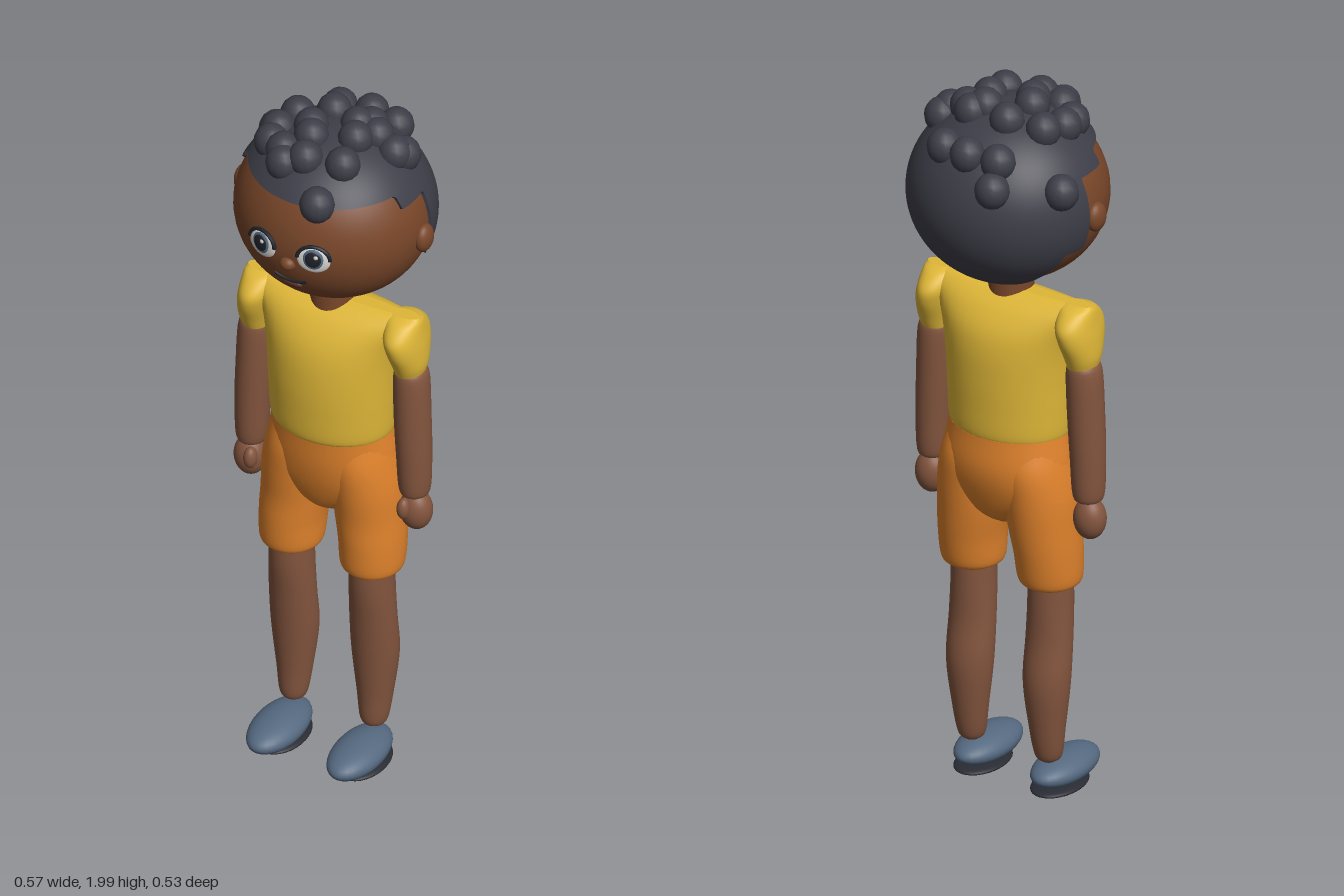
import * as THREE from 'three';

const paint = (name, color) => Object.assign(new THREE.MeshStandardMaterial({ color }), { name });

// Closed-ring surface: point(row, angle) gives a Vector3, rows run so that faces point outward
function ringSurface(rows, cols, point) {
  const pos = [], idx = [];
  for (let j = 0; j < rows; j++)
    for (let i = 0; i < cols; i++) pos.push(...point(j, (i / cols) * Math.PI * 2).toArray());
  for (let j = 0; j < rows - 1; j++)
    for (let i = 0; i < cols; i++) {
      const a = j * cols + i, b = j * cols + (i + 1) % cols, c = a + cols, d = b + cols;
      idx.push(a, c, b, b, c, d);
    }
  const g = new THREE.BufferGeometry();
  g.setAttribute('position', new THREE.Float32BufferAttribute(pos, 3));
  g.setIndex(idx);
  g.computeVertexNormals();
  return g;
}

// Smooth loft through elliptical sections [y, centreX, radiusX, centreZ, radiusZ], bottom to top
function loft(sections, side = 1) {
  const A = new THREE.CatmullRomCurve3(sections.map(s => new THREE.Vector3(s[0], s[1] * side, s[2])), false, 'catmullrom');
  const B = new THREE.CatmullRomCurve3(sections.map(s => new THREE.Vector3(s[3], s[4], 0)), false, 'catmullrom');
  const n = (sections.length - 1) * 5;
  return ringSurface(n + 5, 40, (j, a) => {
    const t = THREE.MathUtils.clamp((j - 2) / n, 0, 1);
    const k = j === 0 || j === n + 4 ? 0 : 1; // end caps close to a point
    const p = A.getPoint(t), q = B.getPoint(t);
    return new THREE.Vector3(p.y + k * p.z * Math.cos(a), p.x, q.x + k * q.y * Math.sin(a));
  });
}

export function createModel() {
  const model = new THREE.Group();
  model.name = 'child';
  const face = paint('faceSkin', 0x784629), skin = paint('limbSkin', 0x83553e);
  const hair = paint('hair', 0x3e3e49), shirt = paint('shirtYellow', 0xdfb738);
  const orange = paint('shortsOrange', 0xdf822c), shoe = paint('shoeBlue', 0x556980);
  const sole = paint('soleDark', 0x292b33), white = paint('eyeWhite', 0xd8d6d0);
  const dark = paint('eyeDark', 0x20232b), lip = paint('lip', 0x5f3326);

  const add = (parent, name, geometry, material) => {
    const m = new THREE.Mesh(geometry, material);
    m.name = name;
    parent.add(m);
    return m;
  };
  const ball = (parent, name, material, p, r, seg = 32) => {
    const m = add(parent, name, new THREE.SphereGeometry(1, seg, Math.ceil(seg * 0.7)), material);
    m.position.set(...p);
    m.scale.set(...r);
    return m;
  };

  // Head
  const C = new THREE.Vector3(0, 1.704, 0), R = new THREE.Vector3(0.26, 0.236, 0.245);
  const H = new THREE.Vector3(0.268, 0.246, 0.263);
  ball(model, 'head', face, C.toArray(), R.toArray(), 48);
  add(model, 'neck', new THREE.CylinderGeometry(0.055, 0.06, 0.1, 32), face).position.set(0, 1.455, 0.005);
  const onFace = (x, y) => new THREE.Vector3(x, y, R.z * Math.sqrt(1 - (x / R.x) ** 2 - ((y - C.y) / R.y) ** 2));

  // Hair shell with a stepped hairline
  const inHair = p => p.y > 1.845 || (p.y > 1.81 && p.z < 0.06) || (p.y > 1.61 && p.z < -0.035) ||
    p.z < -0.1 - 0.008 * Math.sin(p.y * 70 + p.x * 30);
  const pole = new THREE.Vector3(0, 0.55, -0.83).normalize(), u = new THREE.Vector3(1, 0, 0);
  const v = pole.clone().cross(u);
  const hairPoint = (theta, a, s = 1) => pole.clone().multiplyScalar(Math.cos(theta))
    .addScaledVector(u, Math.sin(theta) * Math.cos(a)).addScaledVector(v, Math.sin(theta) * Math.sin(a))
    .multiply(H).multiplyScalar(s).add(C);
  const limits = new Map();
  const limit = a => {
    if (!limits.has(a)) {
      let t = 0.3;
      while (t < 2.6 && inHair(hairPoint(t, a))) t += 0.004;
      limits.set(a, t);
    }
    return limits.get(a);
  };
  const N = 36;
  add(model, 'hairCap', ringSurface(N + 3, 160, (j, a) =>
    hairPoint(limit(a) * Math.min(j, N) / N, a, j === N + 2 ? 0.9 : 1)), hair);

  // Curls sitting on the hair, as [x, z]
  const curls = [
    [-0.09, -0.22], [-0.08, -0.177], [0.005, -0.19], [0.085, -0.175], [-0.225, -0.105], [-0.04, -0.075],
    [-0.127, -0.04], [0.07, -0.073], [0.1, -0.045], [0.045, -0.045], [0.068, 0.01], [0.17, -0.058],
    [0.157, -0.035], [-0.147, 0.027], [-0.14, 0.075], [-0.055, 0.018], [-0.035, 0.055], [-0.088, 0.107],
    [-0.016, 0.12], [-0.07, 0.14], [0.08, 0.098], [0.062, 0.2]];
  for (const [x, z] of curls) {
    const y = C.y + H.y * Math.sqrt(Math.max(0, 1 - (x / H.x) ** 2 - (z / H.z) ** 2));
    ball(model, 'curl', hair, [x, y, z], [0.046, 0.049, 0.046], 14);
  }

  // Nose and mouth
  ball(model, 'nose', face, [0, 1.672, 0.241], [0.022, 0.019, 0.02], 20);
  const smile = [-0.046, -0.025, 0, 0.025, 0.046].map(x => onFace(x, 1.607 + 5 * x * x));
  add(model, 'mouthLine', new THREE.TubeGeometry(new THREE.CatmullRomCurve3(smile), 24, 0.005, 8), dark);
  const lowerLip = ball(model, 'lowerLip', lip, onFace(0, 1.592).toArray(), [0.028, 0.012, 0.008], 20);
  lowerLip.rotation.x = 0.4;

  // Shirt body
  add(model, 'shirt', loft([
    [1.03, 0, 0.155, 0.003, 0.12], [1.045, 0, 0.167, 0.003, 0.134], [1.12, 0, 0.172, 0.004, 0.138],
    [1.2, 0, 0.176, 0.004, 0.139], [1.28, 0, 0.184, 0.002, 0.134], [1.34, 0, 0.2, 0, 0.118],
    [1.39, 0, 0.23, 0, 0.085], [1.42, 0, 0.248, 0, 0.047], [1.43, 0, 0.246, 0, 0.02]]), shirt);

  // Shorts seat
  add(model, 'shortsSeat', loft([
    [0.765, 0, 0.025, 0, 0.04], [0.8, 0, 0.09, -0.004, 0.085], [0.87, 0, 0.183, -0.006, 0.115],
    [0.95, 0, 0.18, -0.006, 0.132], [1.04, 0, 0.165, 0.001, 0.131]]), orange);

  for (const s of [1, -1]) {
    const side = s > 0 ? 'left' : 'right';
    const part = (name, sections, material) => add(model, side + name, loft(sections, s), material);

    // Ear
    ball(model, side + 'Ear', face, [s * 0.262, 1.692, 0], [0.023, 0.04, 0.034], 24);

    // Eye, built flat and turned to the face surface
    const eye = new THREE.Group();
    eye.name = side + 'Eye';
    eye.position.copy(onFace(s * 0.073, 1.71));
    eye.lookAt(eye.position.clone().add(eye.position.clone().sub(C).divide(R).divide(R)));
    model.add(eye);
    ball(eye, 'eyeWhite', white, [0, -0.003, 0.004], [0.044, 0.037, 0.009], 28);
    ball(eye, 'iris', shoe, [0, 0.002, 0.009], [0.028, 0.03, 0.007], 24);
    ball(eye, 'pupil', dark, [0, 0.003, 0.012], [0.022, 0.024, 0.006], 24);
    ball(eye, 'eyeGlint', white, [0.008, 0.013, 0.017], [0.006, 0.006, 0.003], 12);
    const lash = add(eye, 'eyelash', new THREE.TorusGeometry(0.043, 0.0055, 8, 28, Math.PI), dark);
    lash.position.set(0, 0.002, 0.006);
    lash.scale.y = 0.85;

    // Sleeve, arm and hand
    part('Sleeve', [
      [1.255, 0.222, 0.038, 0, 0.045], [1.29, 0.222, 0.045, 0, 0.06], [1.34, 0.216, 0.049, 0, 0.081],
      [1.38, 0.21, 0.05, 0, 0.083], [1.415, 0.208, 0.047, 0, 0.052], [1.43, 0.208, 0.04, 0, 0.02]], shirt);
    part('Arm', [
      [0.877, 0.237, 0.02, 0.003, 0.022], [0.89, 0.237, 0.04, 0.003, 0.042], [1.0, 0.235, 0.046, 0.003, 0.048],
      [1.12, 0.23, 0.048, 0.002, 0.05], [1.24, 0.226, 0.046, 0, 0.05], [1.27, 0.224, 0.034, 0, 0.04]], skin);
    ball(model, side + 'Hand', skin, [s * 0.241, 0.825, 0.003], [0.044, 0.058, 0.041]);
    ball(model, side + 'Thumb', skin, [s * 0.223, 0.84, 0.036], [0.018, 0.031, 0.021], 20);

    // Shorts leg
    part('ShortsLeg', [
      [0.607, 0.117, 0.065, 0.008, 0.068], [0.625, 0.117, 0.083, 0.008, 0.085], [0.7, 0.115, 0.088, 0.003, 0.094],
      [0.78, 0.107, 0.093, -0.003, 0.1], [0.87, 0.1, 0.095, -0.004, 0.11], [0.95, 0.09, 0.091, -0.004, 0.115],
      [1.02, 0.08, 0.084, 0, 0.1]], orange);

    // Lower leg with calf
    part('Leg', [
      [0.1, 0.117, 0.018, 0, 0.018], [0.12, 0.117, 0.036, 0, 0.036], [0.2, 0.117, 0.048, -0.006, 0.046],
      [0.33, 0.117, 0.063, -0.008, 0.058], [0.45, 0.117, 0.063, 0.004, 0.056], [0.55, 0.117, 0.06, 0.01, 0.06],
      [0.65, 0.117, 0.058, 0.01, 0.06]], skin);

    // Shoe and sole
    ball(model, side + 'Shoe', shoe, [s * 0.117, 0.055, 0.076], [0.067, 0.041, 0.126]);
    ball(model, side + 'Sole', sole, [s * 0.117, 0.014, 0.052], [0.064, 0.014, 0.098]);
  }
  return model;
}
